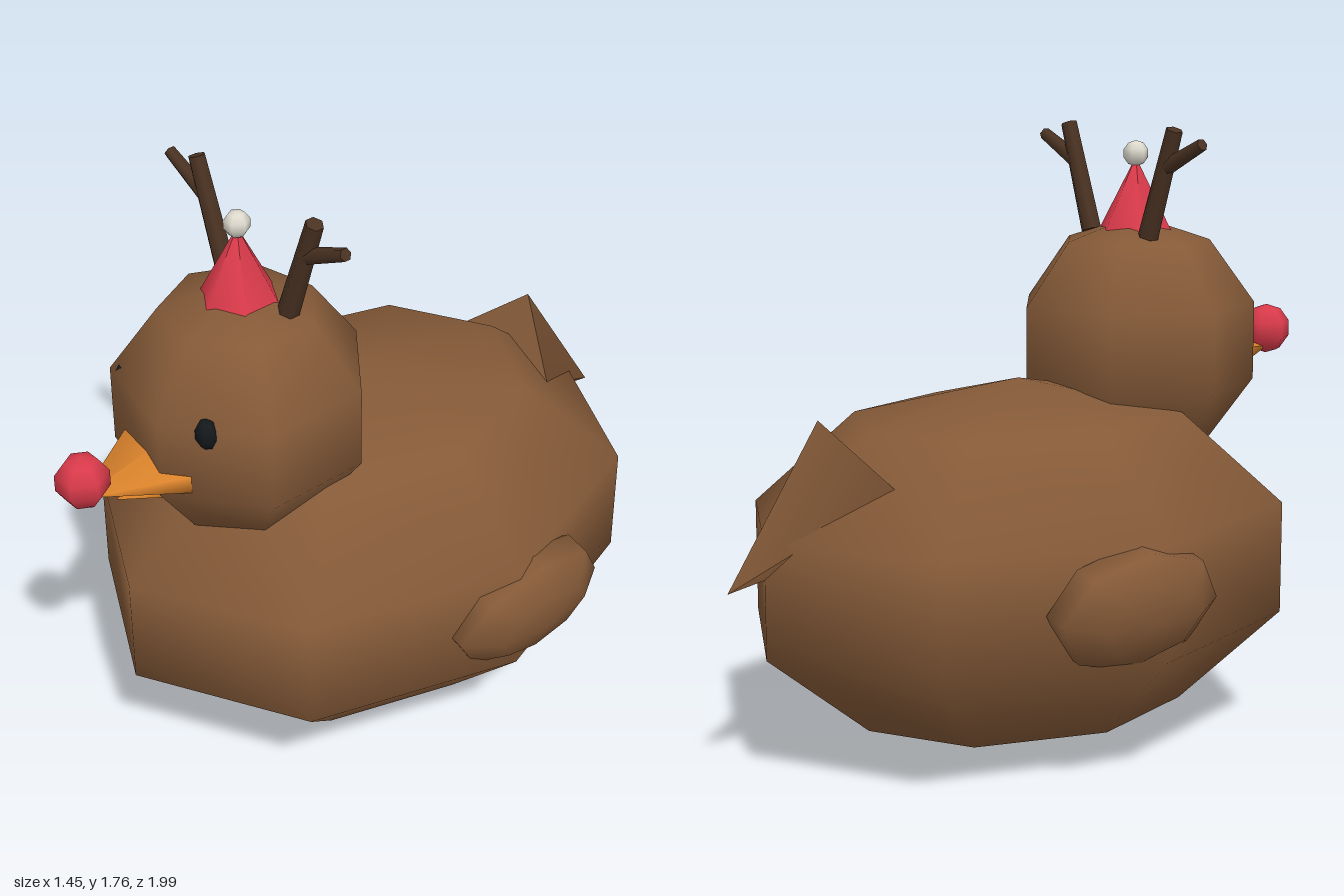
import * as THREE from 'three';

export function createModel() {
  const root = new THREE.Group();
  const mat = (color) => new THREE.MeshStandardMaterial({ color });
  const brown = mat(0x855a38), bark = mat(0x4a3222), red = mat(0xd93a4a);
  const orange = mat(0xd9822b), black = mat(0x14191c), white = mat(0xdedace);

  const add = (name, geometry, material, x, y, z, parent = root) => {
    const mesh = new THREE.Mesh(geometry, material);
    mesh.name = name;
    mesh.position.set(x, y, z);
    parent.add(mesh);
    return mesh;
  };
  const ball = (segments, rx, ry = rx, rz = rx) =>
    new THREE.SphereGeometry(1, segments, 5).scale(rx, ry, rz);

  // Tapered stick between two points
  const stick = (name, a, b, r0, r1, parent) => {
    const from = new THREE.Vector3(...a), to = new THREE.Vector3(...b);
    const dir = to.clone().sub(from);
    const mid = from.add(to).multiplyScalar(0.5);
    const mesh = add(name, new THREE.CylinderGeometry(r1, r0, dir.length(), 6), bark, mid.x, mid.y, mid.z, parent);
    mesh.quaternion.setFromUnitVectors(new THREE.Vector3(0, 1, 0), dir.normalize());
  };

  // Flattened six-sided cone pointing forward
  const beak = (rx, ry, length) =>
    new THREE.ConeGeometry(1, length, 6).rotateX(Math.PI / 2).scale(rx, ry, 1);

  // Body and head
  add('body', ball(8, 0.7, 0.525, 0.889), brown, 0, 0.525, -0.03);
  add('head', ball(7, 0.37), brown, 0, 1.12, 0.402);

  // Four-sided tail pointing back and down
  add('tail', new THREE.ConeGeometry(0.205, 0.48, 4), brown, 0, 0.698, -0.789).rotation.x = -2.153;

  // Beak halves and round nose
  add('upperBeak', beak(0.172, 0.054, 0.26), orange, 0, 1.055, 0.815);
  add('lowerBeak', beak(0.1, 0.027, 0.19), orange, 0, 0.985, 0.74).rotation.x = -0.1;
  add('nose', ball(6, 0.076), red, 0, 1.108, 0.934);

  // Party hat with pompom
  add('hat', new THREE.ConeGeometry(0.111, 0.21, 6), red, 0, 1.555, 0.4);
  add('pompom', ball(6, 0.038), white, 0, 1.67, 0.4);

  // Mirrored parts
  for (const [side, s] of [['left', 1], ['right', -1]]) {
    add(side + 'Eye', ball(6, 0.036, 0.045, 0.03), black, s * 0.175, 1.22, 0.658);

    const wing = ball(8, 1).rotateZ(-Math.PI / 2).scale(0.12, 0.183, 0.279);
    add(side + 'Wing', wing, brown, s * 0.605, 0.52, -0.1).rotation.z = -s * 0.25;

    const antler = new THREE.Group();
    antler.name = side + 'Antler';
    stick('antlerStem', [s * 0.13, 1.44, 0.34], [s * 0.24, 1.75, 0.34], 0.031, 0.025, antler);
    stick('antlerBranch', [s * 0.2, 1.64, 0.34], [s * 0.358, 1.714, 0.34], 0.024, 0.018, antler);
    root.add(antler);
  }
  return root;
}
